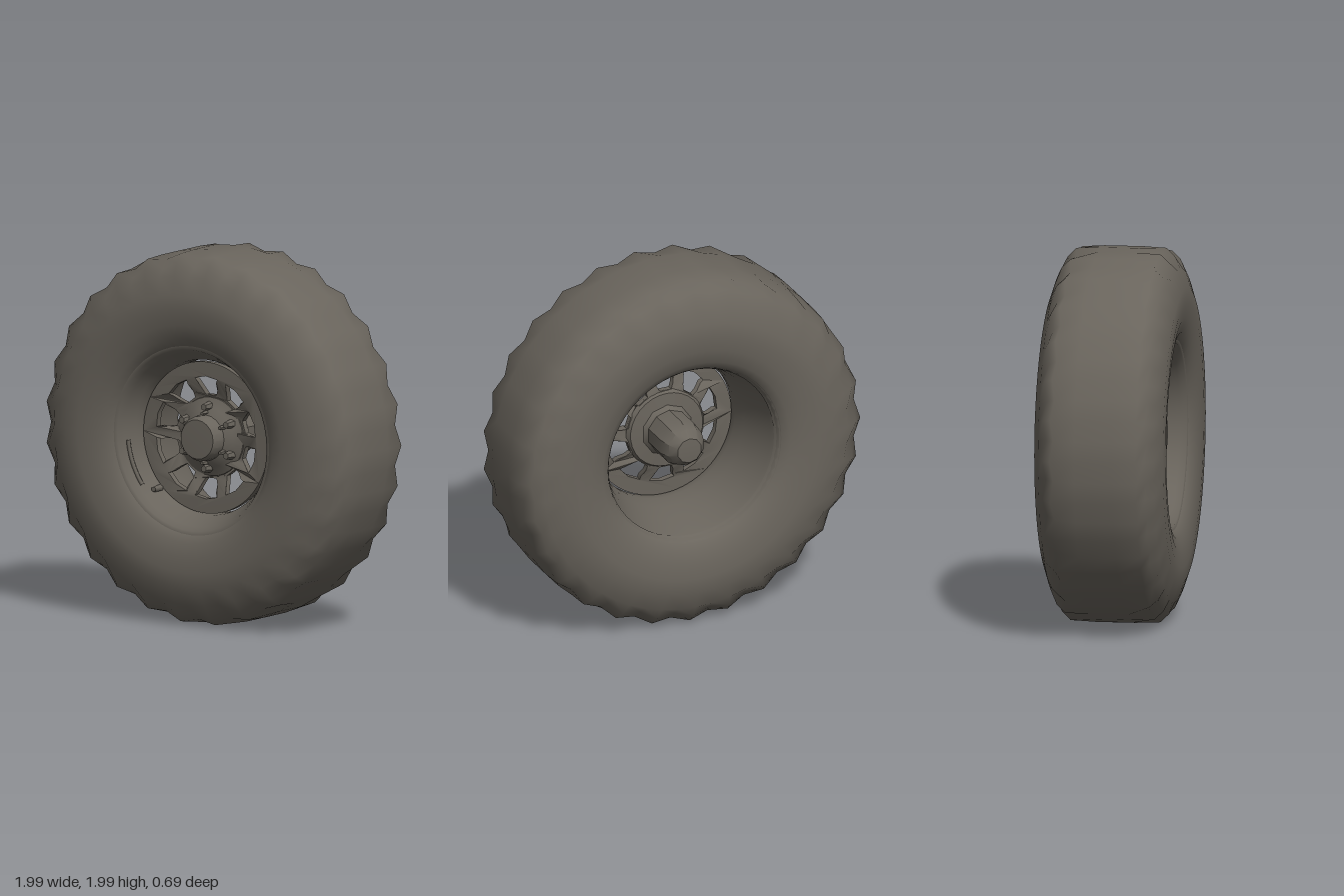
import * as THREE from 'three';
import { mergeVertices, toCreasedNormals } from 'three/addons/utils/BufferGeometryUtils.js';

const material = new THREE.MeshStandardMaterial({ color: 0x69645c });
material.name = 'dusty grey';

// Lathe a [radius, z] profile about the wheel axle (z).
function turned(profile, segments) {
  const g = new THREE.LatheGeometry(profile.map(([r, z]) => new THREE.Vector2(r, z)), segments);
  return g.rotateX(Math.PI / 2);
}

function part(name, geometry, parent) {
  const mesh = new THREE.Mesh(geometry, material);
  mesh.name = name;
  parent.add(mesh);
  return mesh;
}

// Balloon tyre with scalloped lugs along both shoulders
function tyreGeometry() {
  const half = [[0.48, 0.25], [0.5, 0.285], [0.545, 0.318], [0.62, 0.338], [0.7, 0.346], [0.78, 0.343],
    [0.88, 0.308], [0.94, 0.27], [0.985, 0.225], [0.995, 0.1]];
  const profile = [...half.map(([r, z]) => [r, -z]), ...half.slice().reverse()];
  const lugs = 28;
  let g = turned(profile, lugs * 2);
  const p = g.attributes.position;
  for (let i = 0; i < p.count; i++) {
    const x = p.getX(i), y = p.getY(i), z = p.getZ(i);
    const r = Math.hypot(x, y);
    if (r < 0.92 || Math.abs(z) < 0.2) continue;
    const step = Math.round((Math.atan2(y, x) / Math.PI) * lugs) + (z > 0 ? 1 : 0);
    const k = step % 2 === 0 ? 1.004 : 0.978;
    p.setXYZ(i, x * k, y * k, z * (k > 1 ? 1.03 : 0.97));
  }
  g.deleteAttribute('uv');
  g.deleteAttribute('normal');
  g = mergeVertices(g, 1e-4);
  g.computeVertexNormals();
  return g;
}

// Pressed wheel disc with ten windows, dished toward the hub
function discGeometry() {
  const shape = new THREE.Shape().absarc(0, 0, 0.405, 0, Math.PI * 2, false);
  shape.holes.push(new THREE.Path().absarc(0, 0, 0.12, 0, Math.PI * 2, true));
  for (let i = 0; i < 10; i++) {
    const a = ((i + 0.5) * Math.PI) / 5;
    const corners = [[0.225, -0.15], [0.255, -0.19], [0.3, -0.2], [0.322, -0.225], [0.328, 0],
      [0.322, 0.225], [0.3, 0.2], [0.255, 0.19], [0.225, 0.15]];
    shape.holes.push(new THREE.Path(corners.map(([r, d]) =>
      new THREE.Vector2(r * Math.cos(a + d), r * Math.sin(a + d)))));
  }
  const g = new THREE.ExtrudeGeometry(shape, { depth: 0.035, bevelEnabled: false, curveSegments: 40 });
  const p = g.attributes.position;
  for (let i = 0; i < p.count; i++) {
    const r = Math.hypot(p.getX(i), p.getY(i));
    p.setZ(i, p.getZ(i) + 0.075 + 0.05 * THREE.MathUtils.smoothstep(r, 0.22, 0.33));
  }
  return toCreasedNormals(g, 0.6);
}

export function createModel() {
  const group = new THREE.Group();
  const wheel = new THREE.Group();
  wheel.name = 'wheel';
  wheel.position.y = 1;
  group.add(wheel);

  part('tyre', tyreGeometry(), wheel);

  // Rim barrel, seen from inside
  part('rimBarrel', turned([[0.505, 0.29], [0.485, 0.285], [0.465, 0.25], [0.435, 0.19], [0.415, 0.15],
    [0.41, 0.09], [0.42, 0], [0.445, -0.12], [0.475, -0.22], [0.49, -0.27], [0.505, -0.29]], 48), wheel);

  part('wheelDisc', discGeometry(), wheel);

  // Hub: rear axle stub, flange, front cone and cap
  part('axleStub', toCreasedNormals(turned([[0, -0.235], [0.07, -0.23], [0.105, -0.185], [0.125, -0.12],
    [0.125, 0.03], [0.15, 0.06]], 10), 0.6), wheel);
  part('hubFlange', toCreasedNormals(turned([[0.1, 0.05], [0.21, 0.06], [0.225, 0.085], [0.21, 0.115],
    [0.16, 0.135], [0.125, 0.165], [0.1, 0.17]], 30), 0.6), wheel);
  part('hubCap', toCreasedNormals(turned([[0.125, 0.12], [0.12, 0.215], [0.105, 0.24], [0, 0.243]], 20), 0.5), wheel);

  // Six wheel nuts with small studs around the cap
  for (let i = 0; i < 6; i++) {
    const a = Math.PI / 6 + (i * Math.PI) / 3;
    const bolt = new THREE.Group();
    bolt.name = 'wheelBolt';
    bolt.rotation.z = a;
    wheel.add(bolt);
    const nut = part('nut', toCreasedNormals(new THREE.CylinderGeometry(0.018, 0.026, 0.06, 6), 0.4), bolt);
    nut.position.set(0.165, 0, 0.15);
    nut.rotation.set(Math.PI / 2, 0, -0.35, 'ZYX');
    const stud = part('stud', toCreasedNormals(new THREE.CylinderGeometry(0.01, 0.014, 0.04, 5), 0.4), bolt);
    stud.position.set(0.133, 0, 0.175);
    stud.rotation.x = Math.PI / 2;
  }

  // Balance weight and valve on the front of the rim
  const weight = part('balanceWeight', new THREE.TorusGeometry(0.452, 0.012, 6, 10, 0.56), wheel);
  weight.position.z = 0.235;
  weight.rotation.z = 3.24;
  const valve = part('valve', new THREE.CylinderGeometry(0.014, 0.02, 0.06, 6), wheel);
  valve.position.set(-0.297, -0.297, 0.19);
  valve.rotation.x = Math.PI / 2;

  return group;
}
